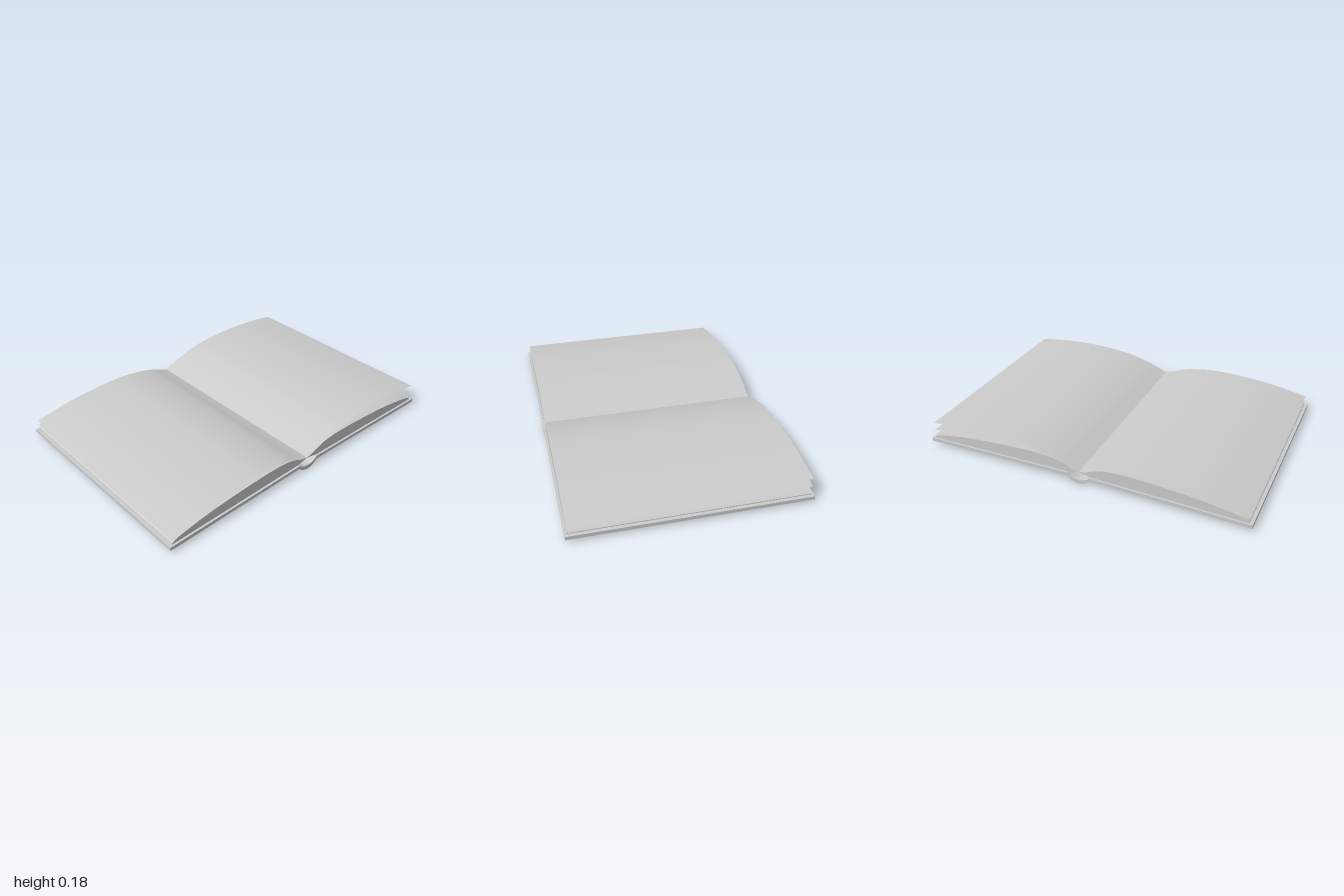
import * as THREE from 'three';
import { toCreasedNormals } from 'three/addons/utils/BufferGeometryUtils.js';

const material = new THREE.MeshStandardMaterial({ color: 0xcccccc });
const pageMaterial = new THREE.MeshStandardMaterial({ color: 0xcccccc, side: THREE.DoubleSide });

const COVER_DEPTH = 1.344;
const PAGE_DEPTH = 1.32;

// Smooth curve through [x, y] points, mirrored by side (+1 or -1)
function curve(points, side, divisions) {
  const spline = new THREE.SplineCurve(points.map(([x, y]) => new THREE.Vector2(x * side, y)));
  return spline.getPoints(divisions);
}

// Closed outline in x-y, extruded along z and centred on z = 0
function prism(name, outline, depth) {
  const geometry = new THREE.ExtrudeGeometry(new THREE.Shape(outline), { depth, bevelEnabled: false });
  geometry.translate(0, 0, -depth / 2);
  const mesh = new THREE.Mesh(toCreasedNormals(geometry, 0.4), material);
  mesh.name = name;
  return mesh;
}

// Thin curved sheet following a profile
function sheet(name, points, side) {
  const profile = curve(points, side, 24);
  const geometry = new THREE.PlaneGeometry(1, PAGE_DEPTH, profile.length - 1, 1);
  geometry.rotateX(-Math.PI / 2);
  const position = geometry.attributes.position;
  for (let i = 0; i < position.count; i++) {
    // Run the profile from low x to high x so the sheet faces up
    const k = i % profile.length;
    const p = profile[side > 0 ? k : profile.length - 1 - k];
    position.setXY(i, p.x, p.y);
  }
  geometry.computeVertexNormals();
  const mesh = new THREE.Mesh(geometry, pageMaterial);
  mesh.name = name;
  return mesh;
}

export function createModel() {
  const book = new THREE.Group();
  book.name = 'openBook';

  const blockTop = [[0, 0.071], [0.05, 0.083], [0.1, 0.105], [0.18, 0.122], [0.3, 0.127],
    [0.5, 0.119], [0.73, 0.1], [0.93, 0.068], [0.98, 0.045]];

  for (const side of [1, -1]) {
    const label = side > 0 ? 'left' : 'right';
    const at = (x, y) => new THREE.Vector2(x * side, y);

    // Hard cover board, sloping gently to the outer edge
    book.add(prism(label + 'Cover',
      [at(0.07, 0.034), at(1, 0.018), at(1, 0.039), at(0.07, 0.054)], COVER_DEPTH));

    // Solid stack of pages with a domed top
    book.add(prism(label + 'PageBlock',
      [...curve(blockTop, side, 32), at(0.98, 0.04), at(0.075, 0.0545), at(0.04, 0.063), at(0, 0.069)],
      PAGE_DEPTH));
  }

  // Curved spine strip joining the boards
  const outer = [[-0.072, 0.034], [-0.045, 0.012], [0, 0], [0.045, 0.012], [0.072, 0.034]];
  const inner = [[0.072, 0.054], [0.04, 0.034], [0, 0.026], [-0.04, 0.034], [-0.072, 0.054]];
  book.add(prism('spine', [...curve(outer, 1, 16), ...curve(inner, 1, 16)], COVER_DEPTH));

  // Loose pages lifting off each stack
  book.add(sheet('leftUpperPage', [[0, 0.071], [0.06, 0.095], [0.15, 0.128], [0.3, 0.163],
    [0.5, 0.178], [0.7, 0.175], [0.86, 0.16], [0.98, 0.143]], 1));
  book.add(sheet('leftLowerPage', [[0, 0.071], [0.06, 0.09], [0.15, 0.124], [0.3, 0.145],
    [0.5, 0.149], [0.7, 0.137], [0.86, 0.115], [0.98, 0.094]], 1));
  book.add(sheet('rightUpperPage', [[0, 0.071], [0.06, 0.092], [0.15, 0.126], [0.3, 0.153],
    [0.45, 0.16], [0.7, 0.147], [0.86, 0.124], [0.98, 0.1]], -1));
  book.add(sheet('rightLowerPage', [[0, 0.071], [0.06, 0.09], [0.15, 0.122], [0.3, 0.138],
    [0.5, 0.135], [0.7, 0.118], [0.86, 0.094], [0.98, 0.069]], -1));

  return book;
}
